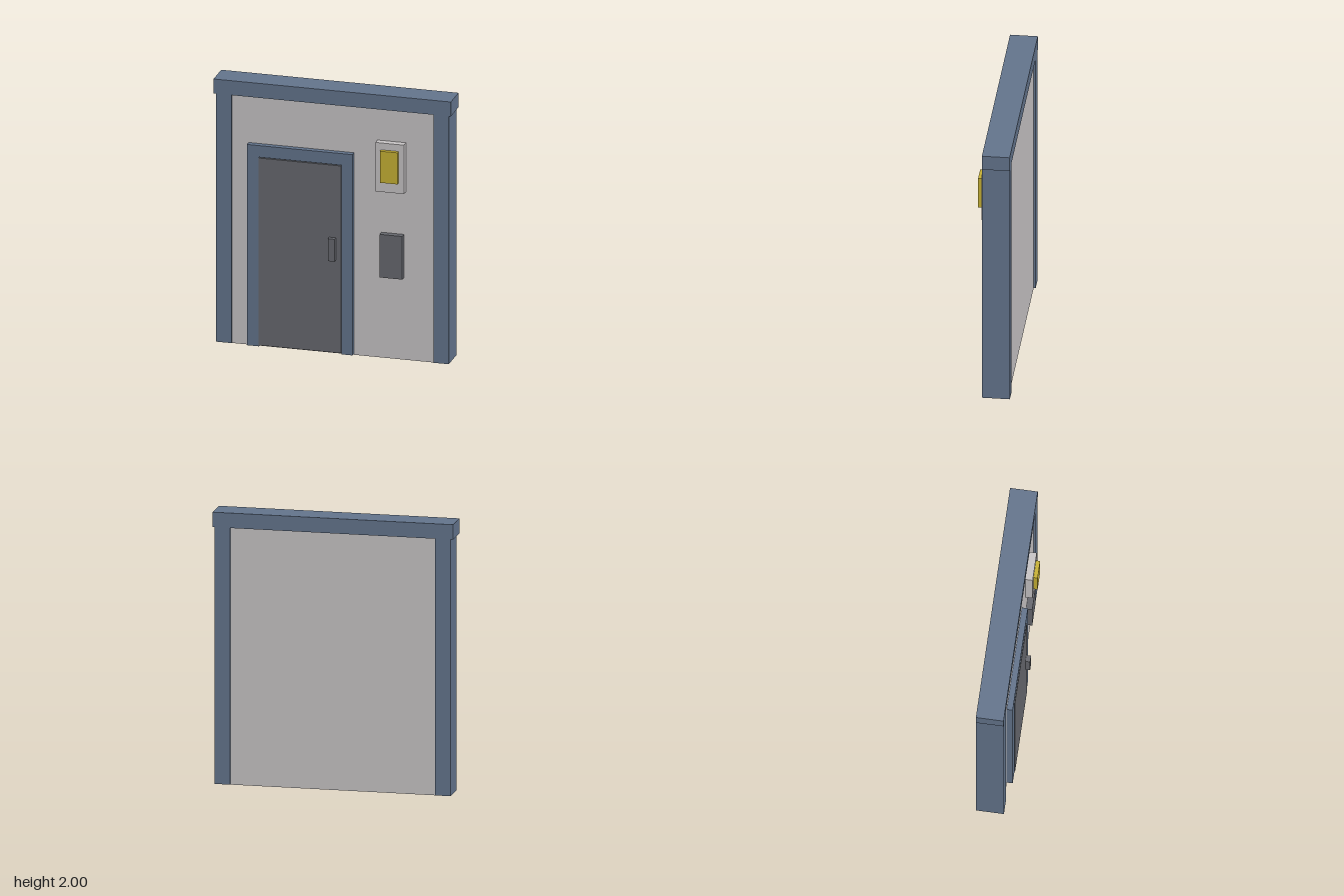
import * as THREE from 'three';

const material = (name, color) => {
  const m = new THREE.MeshStandardMaterial({ color });
  m.name = name;
  return m;
};

export function createModel() {
  const model = new THREE.Group();
  model.name = 'doorWall';

  const blue = material('slate blue', 0x64758d);
  const wall = material('warm light grey', 0xc8c5c6);
  const dark = material('dark grey', 0x67696f);
  const yellow = material('lamp yellow', 0xc8b234);

  // Box given by its limits on each axis
  const box = (name, mat, [x0, x1], [y0, y1], [z0, z1]) => {
    const mesh = new THREE.Mesh(new THREE.BoxGeometry(x1 - x0, y1 - y0, z1 - z0), mat);
    mesh.position.set((x0 + x1) / 2, (y0 + y1) / 2, (z0 + z1) / 2);
    mesh.name = name;
    model.add(mesh);
  };

  // Wall panel, slightly recessed between the posts
  box('wallPanel', wall, [-0.76, 0.76], [0, 1.9], [-0.12, 0.052]);
  const depth = [-0.135, 0.065];
  box('rightPost', blue, [-0.862, -0.75], [0.003, 1.89], depth);
  box('leftPost', blue, [0.755, 0.867], [0.003, 1.89], depth);
  box('lintel', blue, [-0.882, 0.882], [1.89, 2], depth);

  // Door frame: one extruded arch open at the floor
  const arch = new THREE.Shape([
    [-0.624, 0.01], [-0.537, 0.01], [-0.537, 1.45], [0.077, 1.45],
    [0.077, 0.01], [0.159, 0.01], [0.159, 1.538], [-0.624, 1.538],
  ].map(([x, y]) => new THREE.Vector2(x, y)));
  const frame = new THREE.Mesh(
    new THREE.ExtrudeGeometry(arch, { depth: 0.05, bevelEnabled: false }), blue);
  frame.position.z = 0.045;
  frame.name = 'doorFrame';
  model.add(frame);

  // Door and handle
  box('door', dark, [-0.537, 0.077], [0.02, 1.445], [0.045, 0.1]);
  box('doorHandle', dark, [-0.012, 0.037], [0.725, 0.895], [0.09, 0.135]);

  // Wall lamp and control box
  box('lampPlate', wall, [0.333, 0.545], [1.28, 1.652], [0.045, 0.105]);
  box('lampLight', yellow, [0.374, 0.505], [1.36, 1.6], [0.1, 0.135]);
  box('controlBox', dark, [0.363, 0.53], [0.625, 0.953], [0.045, 0.098]);

  return model;
}
